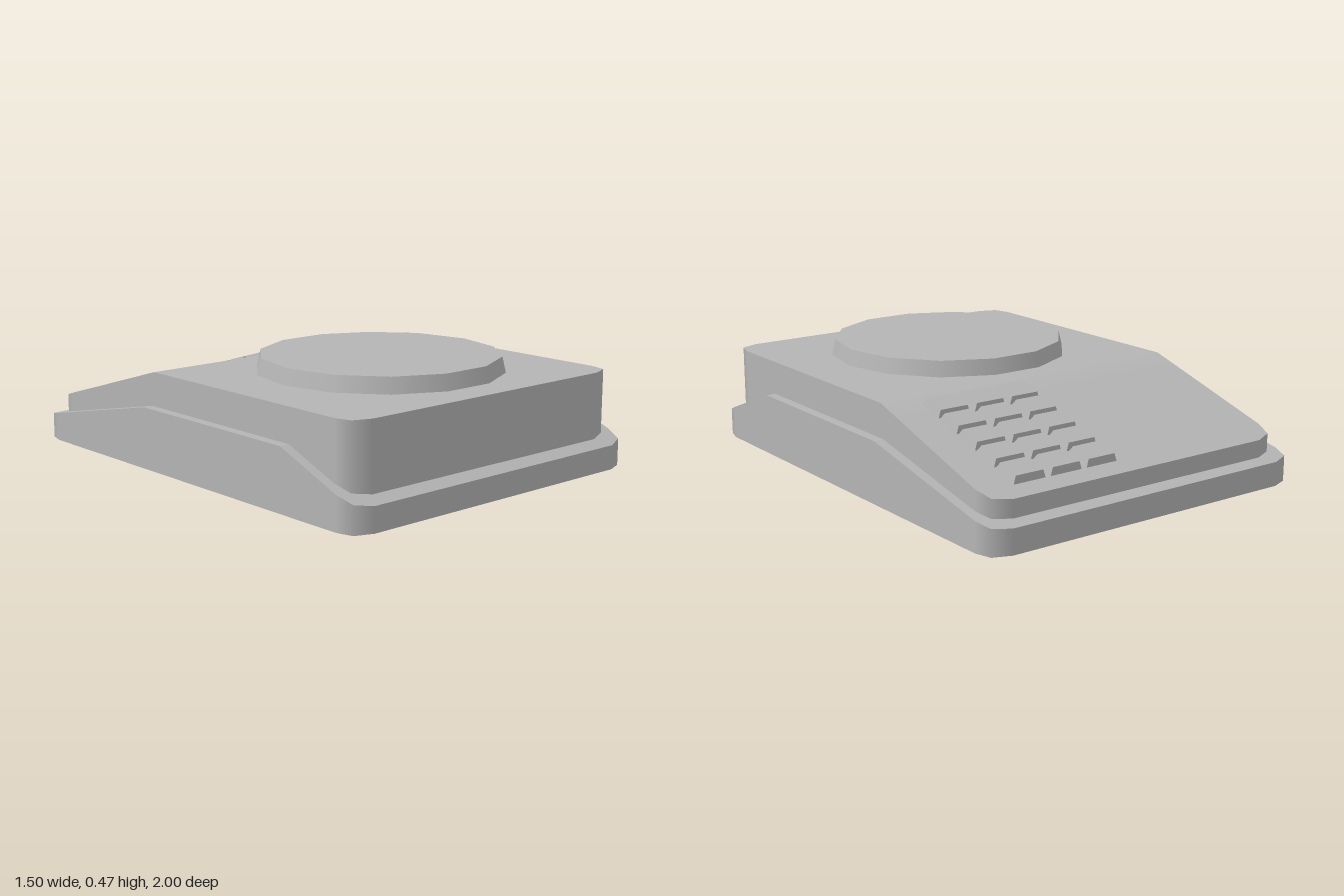
import * as THREE from 'three';

const grey = new THREE.MeshStandardMaterial({ color: 0xb4b4b4 });
grey.name = 'grey plastic';

// Height at z on a profile of [z, y] points running front to back
function heightAt(profile, z) {
  for (let i = 1; i < profile.length; i++) {
    const [z0, y0] = profile[i - 1], [z1, y1] = profile[i];
    if (z >= z1 || i === profile.length - 1) return y0 + (y1 - y0) * (z - z0) / (z1 - z0);
  }
}

// Closed shell: rounded rectangular plan, flat bottom, top following the side profile
function shell(hx, hz, bottom, profile, smoothTop) {
  const corner = [[0.095, 0, 0, 1], [0.02, 0.028, 0.65, 0.76], [0, 0.095, 1, 0]];
  const front = corner.map(([dx, dz, nx, nz]) => ({ x: hx - dx, z: hz - dz, nx, nz }));
  const middle = profile.slice(1, -1).map(([z]) => ({ x: hx, z, nx: 1, nz: 0 }));
  const back = front.map(p => ({ ...p, z: -p.z, nz: -p.nz })).reverse();
  const right = [...front, ...middle, ...back];
  const mirror = p => ({ ...p, x: -p.x, nx: -p.nx });
  const loop = [...right, ...right.map(mirror).reverse()];
  const top = p => heightAt(profile, p.z);

  const positions = [], normals = [];
  const vertex = (p, y, n) => { positions.push(p.x, y, p.z); normals.push(...n); };
  const quad = corners => [0, 1, 2, 0, 2, 3].forEach(k => vertex(...corners[k]));

  // Walls
  loop.forEach((a, i) => {
    const b = loop[(i + 1) % loop.length];
    const na = [a.nx, 0, a.nz], nb = [b.nx, 0, b.nz];
    quad([[a, bottom, na], [b, bottom, nb], [b, top(b), nb], [a, top(a), na]]);
  });

  // Top and bottom, in strips from front to back
  const stripNormal = i => {
    const a = right[i], b = right[i + 1];
    const slope = (top(b) - top(a)) / (b.z - a.z);
    return new THREE.Vector3(0, 1, -slope).normalize().toArray();
  };
  const down = [0, -1, 0];
  for (let i = 0; i < right.length - 1; i++) {
    const a = right[i], b = right[i + 1], la = mirror(a), lb = mirror(b);
    const nb = stripNormal(i), na = smoothTop ? stripNormal(Math.max(i - 1, 0)) : nb;
    quad([[a, top(a), na], [b, top(b), nb], [lb, top(b), nb], [la, top(a), na]]);
    quad([[la, bottom, down], [lb, bottom, down], [b, bottom, down], [a, bottom, down]]);
  }

  const geometry = new THREE.BufferGeometry();
  geometry.setAttribute('position', new THREE.Float32BufferAttribute(positions, 3));
  geometry.setAttribute('normal', new THREE.Float32BufferAttribute(normals, 3));
  return geometry;
}

// Key cap with tapered sides, standing on y = 0
function keyGeometry(width, height, depth, taper) {
  const geometry = new THREE.BoxGeometry(width, height, depth).translate(0, height / 2, 0);
  const p = geometry.attributes.position;
  for (let i = 0; i < p.count; i++) {
    if (p.getY(i) < height / 2) continue;
    p.setX(i, p.getX(i) - Math.sign(p.getX(i)) * taper);
    p.setZ(i, p.getZ(i) - Math.sign(p.getZ(i)) * taper);
  }
  geometry.computeVertexNormals();
  return geometry;
}

export function createModel() {
  const model = new THREE.Group();
  model.name = 'countertopScale';
  const add = (name, geometry, parent = model) => {
    const mesh = new THREE.Mesh(geometry, grey);
    mesh.name = name;
    parent.add(mesh);
    return mesh;
  };

  // Lower tray
  add('base', shell(0.75, 1, 0, [[1, 0.1], [0.6, 0.255], [-0.25, 0.255], [-1, 0.1]], false));

  // Upper housing: level in front, sloping down to the back
  const slope = 0.298, bend = -0.235, level = 0.395;
  const slopeY = z => level + slope * (z - bend);
  add('housing', shell(0.708, 0.943, 0.05,
    [[0.943, level], [bend, level], [-0.37, slopeY(-0.37)], [-0.943, slopeY(-0.943)]], true));

  // Weighing platter on a short hidden post
  const platter = add('platter', new THREE.CylinderGeometry(0.49, 0.505, 0.065, 14));
  platter.position.set(0, 0.434, 0.33);
  platter.rotation.y = Math.PI / 2;
  add('platterPost', new THREE.CylinderGeometry(0.2, 0.2, 0.04, 14)).position.set(0, 0.4, 0.33);

  // Keypad on the slope
  const keypad = new THREE.Group();
  keypad.name = 'keypad';
  model.add(keypad);
  const cap = keyGeometry(0.145, 0.03, 0.115, 0.01);
  for (let row = 0; row < 5; row++) {
    for (let col = 0; col < 3; col++) {
      const z = -0.346 - 0.117 * row;
      const key = add('key', cap, keypad);
      key.position.set(0.144 + 0.169 * col, slopeY(z), z);
      key.rotation.x = -Math.atan(slope);
    }
  }
  return model;
}
